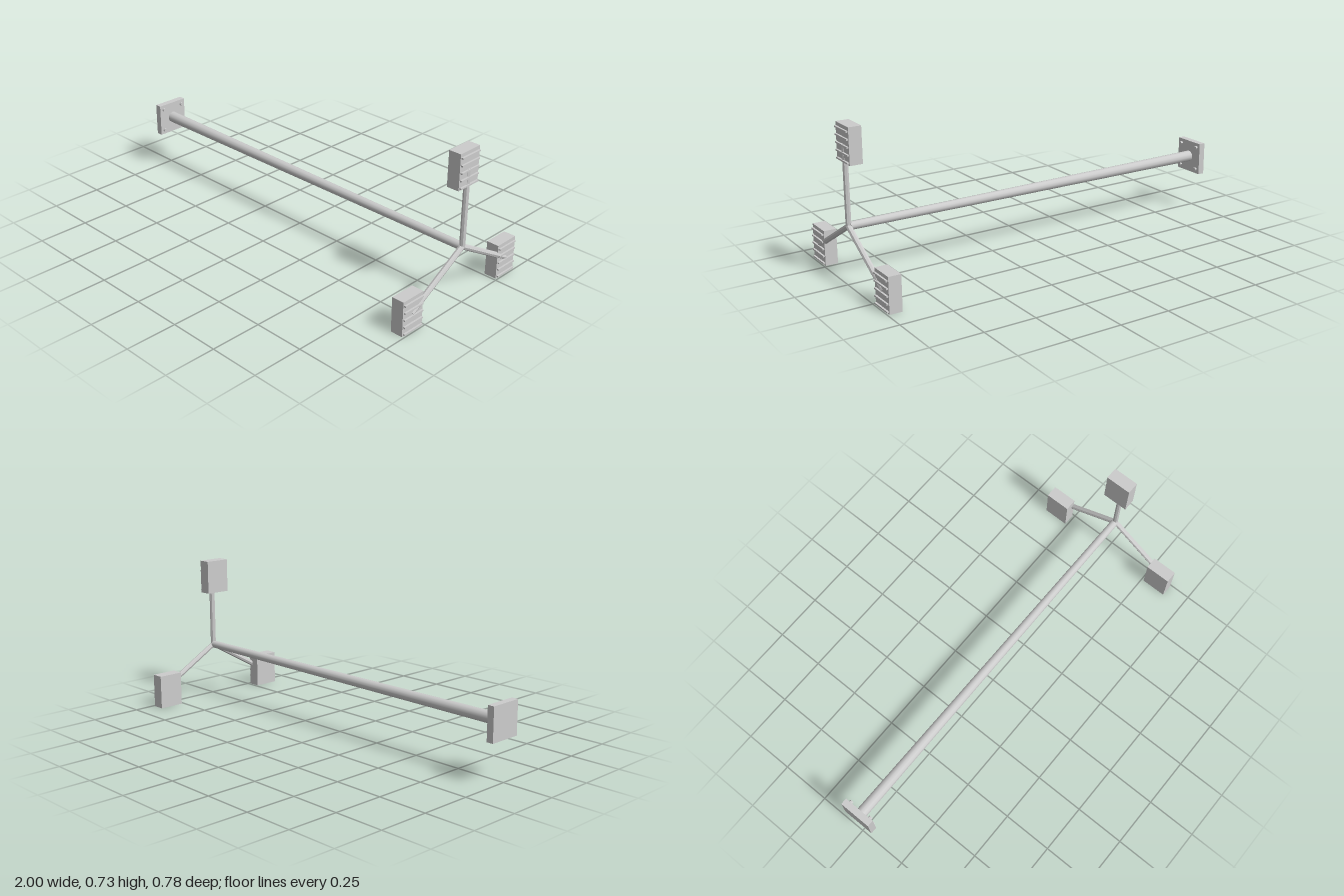
import * as THREE from 'three';

export function createModel() {
  const model = new THREE.Group();
  model.name = 'streetLamp';
  const metal = new THREE.MeshStandardMaterial({ color: 0xcccccc });
  metal.name = 'grey metal';
  const axisY = 0.277;

  const add = (parent, name, geometry, x, y, z) => {
    const mesh = new THREE.Mesh(geometry, metal);
    mesh.name = name;
    mesh.position.set(x, y, z);
    parent.add(mesh);
    return mesh;
  };

  // Square base plate with four hexagonal bolts
  add(model, 'basePlate', new THREE.BoxGeometry(0.033, 0.163, 0.163), -0.9835, axisY, 0);
  const boltGeometry = new THREE.CylinderGeometry(0.009, 0.009, 0.012, 6).toNonIndexed();
  boltGeometry.computeVertexNormals();
  boltGeometry.rotateZ(-Math.PI / 2);
  for (const sy of [-1, 1])
    for (const sz of [-1, 1])
      add(model, 'baseBolt', boltGeometry, -0.962, axisY + sy * 0.0585, sz * 0.0585);

  // Long tapered pole
  const pole = new THREE.CylinderGeometry(0.019, 0.028, 1.945, 12);
  pole.rotateZ(-Math.PI / 2);
  add(model, 'pole', pole, 0.005, axisY, 0);

  // Three radial arms, each carrying an upright lamp head with cooling fins
  const reach = 0.376;
  const armGeometry = new THREE.CylinderGeometry(0.0135, 0.0135, reach, 8).toNonIndexed();
  armGeometry.computeVertexNormals();
  const headGeometry = new THREE.BoxGeometry(0.061, 0.17, 0.128);
  const finGeometry = new THREE.BoxGeometry(0.012, 0.007, 0.117);
  for (let i = 0; i < 3; i++) {
    const angle = (i * Math.PI * 2) / 3;
    const dy = Math.cos(angle), dz = Math.sin(angle);
    const arm = add(model, 'arm', armGeometry, 0.983, axisY + dy * reach / 2, dz * reach / 2);
    arm.rotation.x = angle;

    const head = new THREE.Group();
    head.name = 'lampHead';
    head.position.set(0, axisY + dy * reach, dz * reach);
    add(head, 'housing', headGeometry, 0.9605, 0, 0);
    for (let k = -2; k <= 2; k++)
      add(head, 'coolingFin', finGeometry, 0.994, k * 0.0348 - 0.005, 0);
    model.add(head);
  }
  return model;
}
